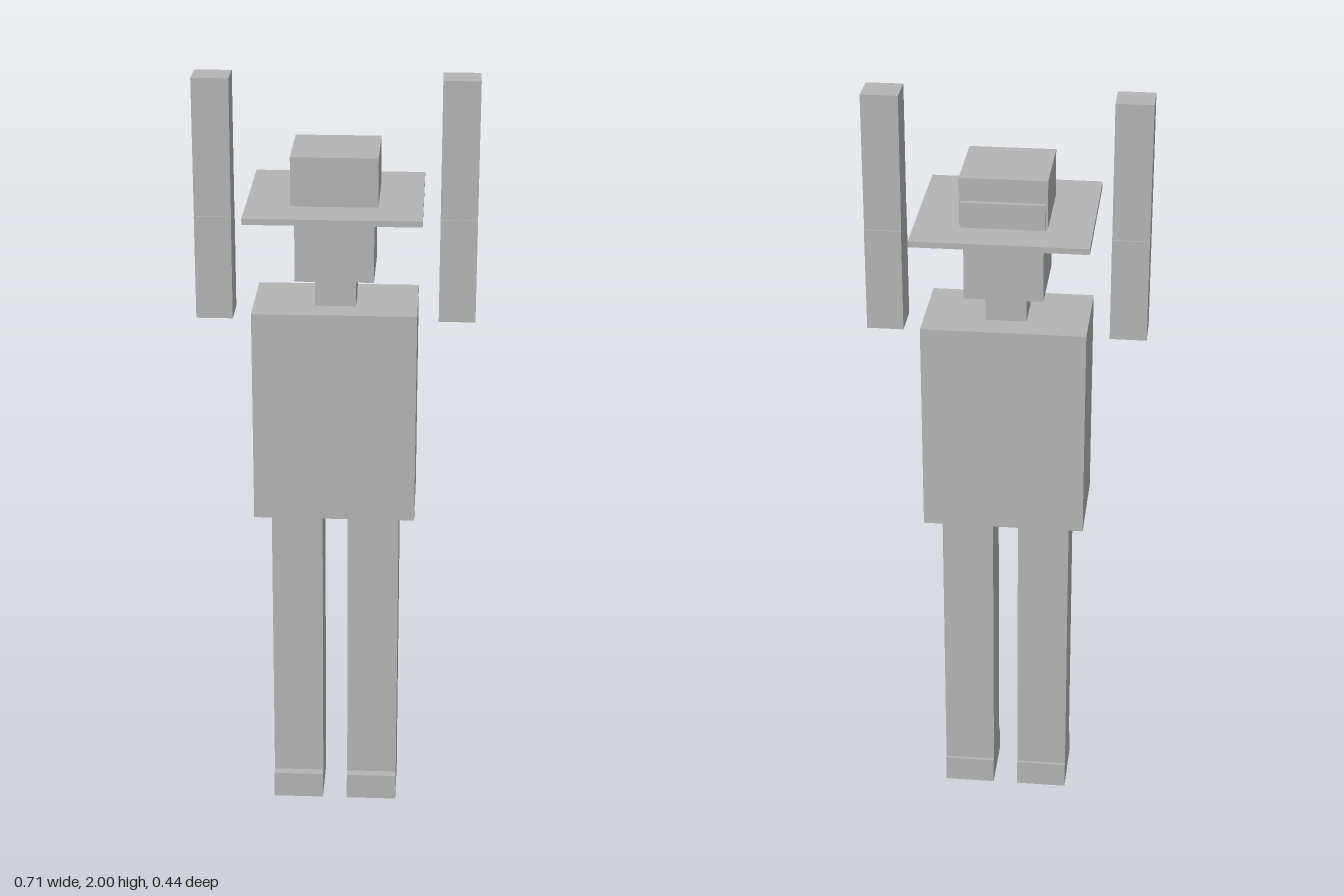
import * as THREE from 'three';

const grey = new THREE.MeshStandardMaterial({ color: 0xb4b4b4, side: THREE.DoubleSide });
grey.name = 'grey';

// Box from y0 to y1 with an open underside
function openBox(name, width, depth, y0, y1, x = 0, z = 0) {
  const geometry = new THREE.BoxGeometry(width, y1 - y0, depth);
  const index = Array.from(geometry.index.array);
  index.splice(18, 6); // the downward face
  geometry.setIndex(index);
  geometry.clearGroups();
  const mesh = new THREE.Mesh(geometry, grey);
  mesh.name = name;
  mesh.position.set(x, (y0 + y1) / 2, z);
  return mesh;
}

export function createModel() {
  const model = new THREE.Group();
  model.name = 'blockFigure';

  // Body and head
  model.add(
    openBox('torso', 0.416, 0.25, 0.863, 1.422),
    openBox('neck', 0.104, 0.104, 1.422, 1.504),
    openBox('head', 0.198, 0.217, 1.504, 1.685),
  );

  // Hat, with the hair band pushed out at the back
  const hat = new THREE.Group();
  hat.name = 'hat';
  hat.add(
    openBox('hatBrim', 0.438, 0.438, 1.683, 1.698),
    openBox('hatCrown', 0.217, 0.217, 1.698, 1.822),
    openBox('hairBand', 0.208, 0.2, 1.663, 1.763, 0, -0.02),
  );
  model.add(hat);

  // Raised arms, legs and feet
  for (const [side, s] of [['left', 1], ['right', -1]]) {
    model.add(
      openBox(side + 'UpperArm', 0.093, 0.098, 1.383, 1.65, s * 0.308),
      openBox(side + 'Forearm', 0.093, 0.09, 1.65, 2, s * 0.308),
      openBox(side + 'Leg', 0.134, 0.134, 0.072, 0.863, s * 0.1),
      openBox(side + 'Foot', 0.134, 0.166, 0, 0.072, s * 0.1, 0.008),
    );
  }
  return model;
}
